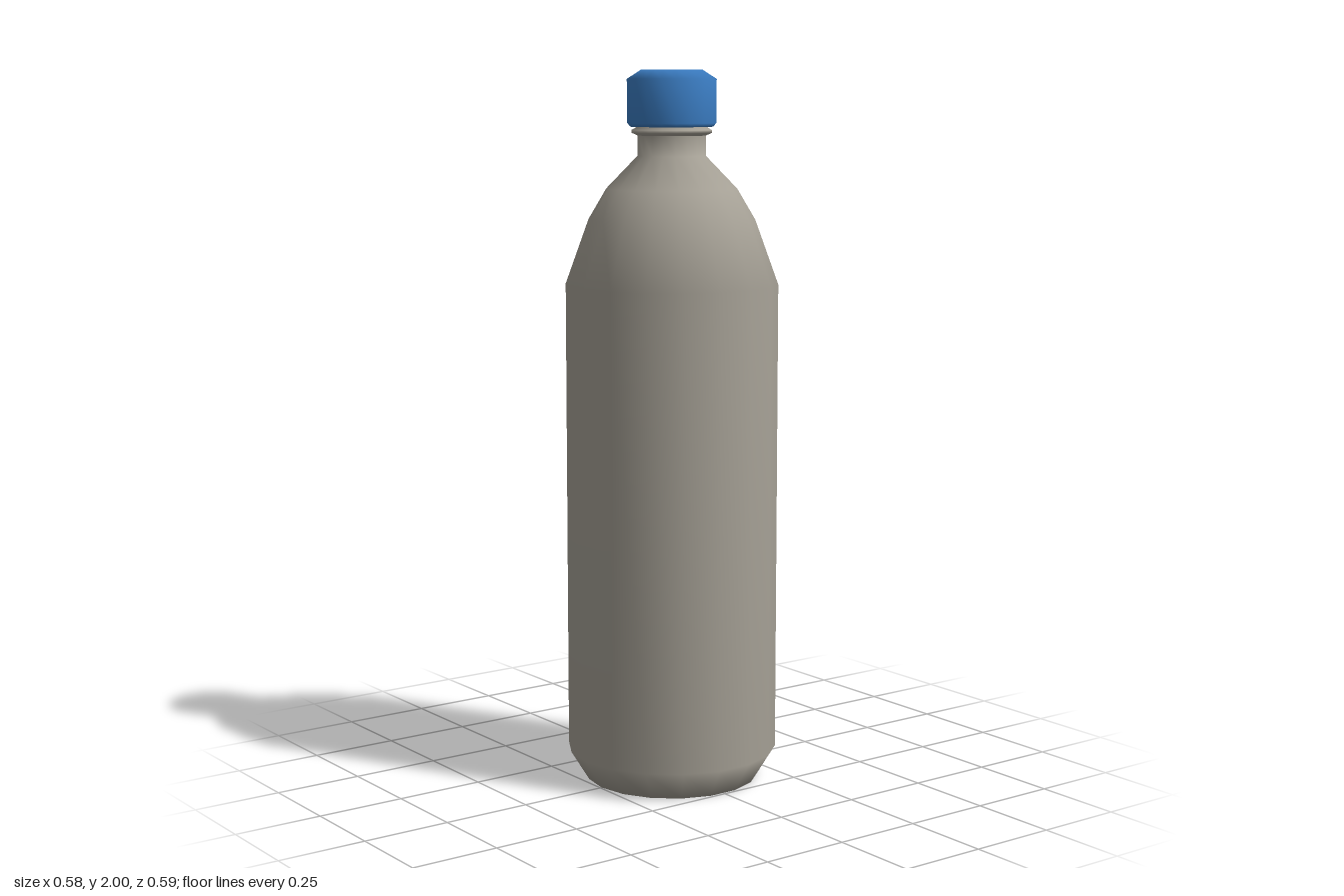
import * as THREE from 'three';

const SIDES = 18;

// Smooth turned part from [radius, height] pairs, listed bottom to top
function turned(name, profile, material) {
  const points = profile.map(([r, y]) => new THREE.Vector2(r, y));
  const mesh = new THREE.Mesh(new THREE.LatheGeometry(points, SIDES), material);
  mesh.name = name;
  return mesh;
}

export function createModel() {
  const plastic = new THREE.MeshStandardMaterial({ color: 0xa6a196 });
  plastic.name = 'warm grey plastic';
  const blue = new THREE.MeshStandardMaterial({ color: 0x3a7bc0 });
  blue.name = 'blue cap';

  const group = new THREE.Group();
  group.name = 'bottle';

  // Chamfered base, straight wall, rounded shoulder and neck
  group.add(turned('body', [
    [0, 0], [0.245, 0], [0.297, 0.085], [0.297, 1.41],
    [0.232, 1.59], [0.182, 1.675], [0.095, 1.765], [0.095, 1.822],
  ], plastic));

  // Flared ring under the cap
  group.add(turned('neckRing', [
    [0.093, 1.82], [0.111, 1.828], [0.111, 1.836], [0.1, 1.842], [0.1, 1.855],
  ], plastic));

  // Screw cap with bevelled top
  group.add(turned('cap', [
    [0, 1.845], [0.115, 1.845], [0.123, 1.855], [0.124, 1.975], [0.085, 2], [0, 2],
  ], blue));

  return group;
}
